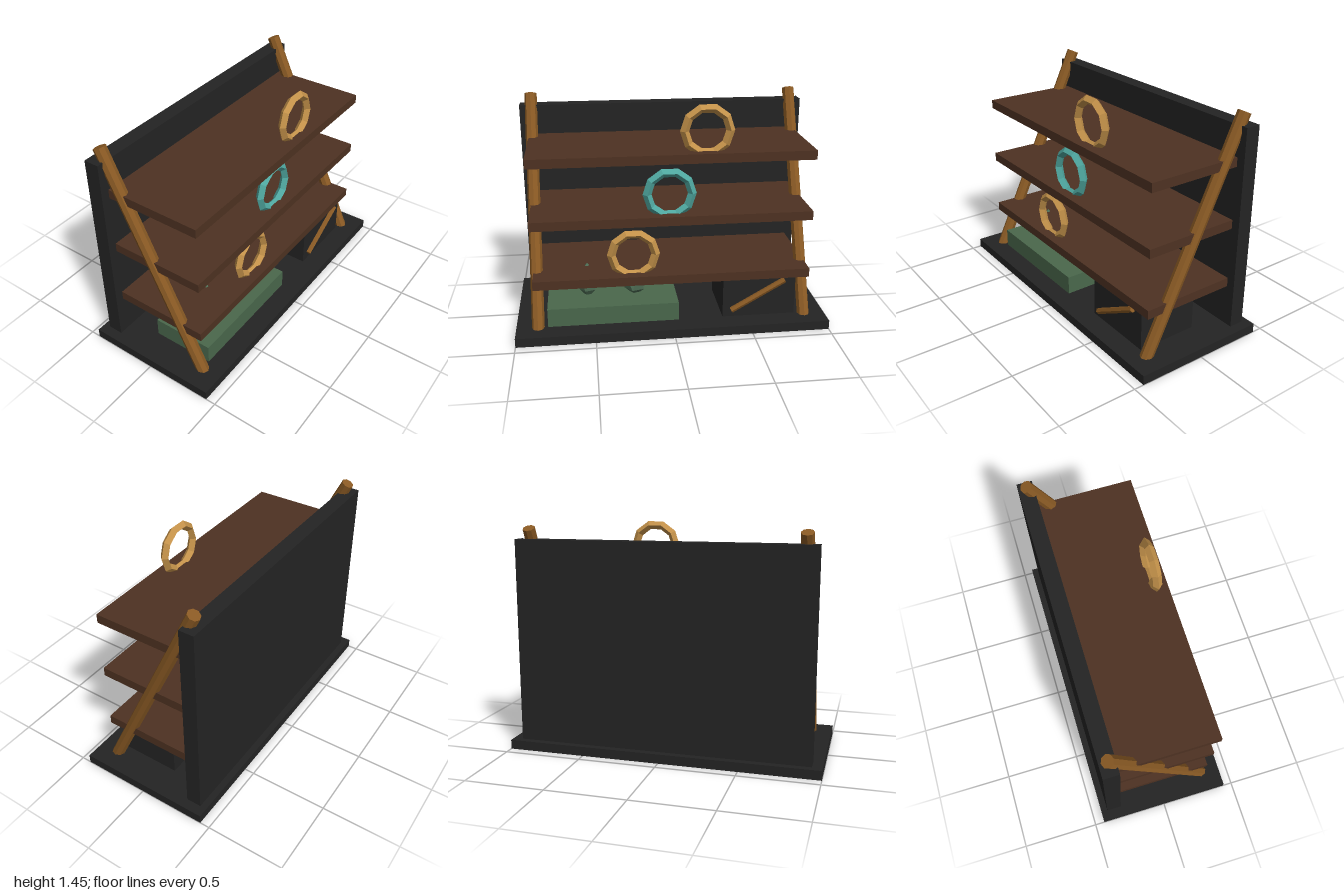
import * as THREE from 'three';

const mat = (name, color) => {
  const m = new THREE.MeshStandardMaterial({ color, flatShading: true });
  m.name = name;
  return m;
};

export function createModel() {
  const group = new THREE.Group();
  const black = mat('charcoal', 0x242424);
  const wood = mat('darkWood', 0x4e3222);
  const pole = mat('lightWood', 0x8a5a24);
  const gold = mat('gold', 0xc4924a);
  const teal = mat('teal', 0x4fa8a0);
  const green = mat('green', 0x4a684c);
  const leaf = mat('leafGreen', 0x4f6f56);

  const add = (name, geometry, material, x = 0, y = 0, z = 0) => {
    const mesh = new THREE.Mesh(geometry, material);
    mesh.name = name;
    mesh.position.set(x, y, z);
    group.add(mesh);
    return mesh;
  };
  // box given by its limits on each axis
  const box = (name, material, [x0, x1], [y0, y1], [z0, z1]) =>
    add(name, new THREE.BoxGeometry(x1 - x0, y1 - y0, z1 - z0), material,
      (x0 + x1) / 2, (y0 + y1) / 2, (z0 + z1) / 2);

  // stand
  box('base', black, [-1, 1], [0, 0.06], [-0.437, 0.437]);
  box('backPanel', black, [-0.937, 0.937], [0.06, 1.36], [-0.395, -0.298]);

  // shelves, each with an upright ring near its front edge
  [
    [0.325, -0.245, 0.505, gold],
    [0.718, -0.015, 0.9, teal],
    [1.112, 0.215, 1.293, gold],
  ].forEach(([y, ringX, ringY, ringMat]) => {
    box('shelf', wood, [-0.882, 0.882], [y, y + 0.058], [-0.32, 0.32]);
    add('ring', new THREE.TorusGeometry(0.141, 0.028, 4, 10), ringMat, ringX, ringY, 0.238);
  });

  // leaning side poles
  const low = new THREE.Vector3(0, 0.04, 0.314);
  const high = new THREE.Vector3(0, 1.427, -0.346);
  const dir = high.clone().sub(low);
  for (const side of [-1, 1]) {
    const p = add('sidePole', new THREE.CylinderGeometry(0.04, 0.04, dir.length(), 8), pole,
      side * 0.862, (low.y + high.y) / 2, (low.z + high.z) / 2);
    p.quaternion.setFromUnitVectors(new THREE.Vector3(0, 1, 0), dir.clone().normalize());
  }

  // planter with two faceted plants
  box('planter', green, [-0.8, 0.037], [0.06, 0.182], [-0.1, 0.307]);
  const plant = (x, y, r, h) => {
    const g = new THREE.IcosahedronGeometry(1, 0);
    g.rotateZ(-Math.atan(2 / (1 + Math.sqrt(5)))); // point upward
    g.scale(r, h, r);
    add('plant', g, leaf, x, y, 0.1);
  };
  plant(-0.54, 0.275, 0.066, 0.125);
  plant(-0.23, 0.26, 0.078, 0.11);

  // cabinet under the lowest shelf, with a slanted bar on its front
  box('cabinet', black, [0.325, 0.8], [0.06, 0.379], [-0.1, 0.3]);
  const bar = add('slantedBar', new THREE.CylinderGeometry(0.02, 0.02, 0.4, 6), pole, 0.553, 0.208, 0.307);
  bar.rotation.z = -Math.PI / 3;

  return group;
}
